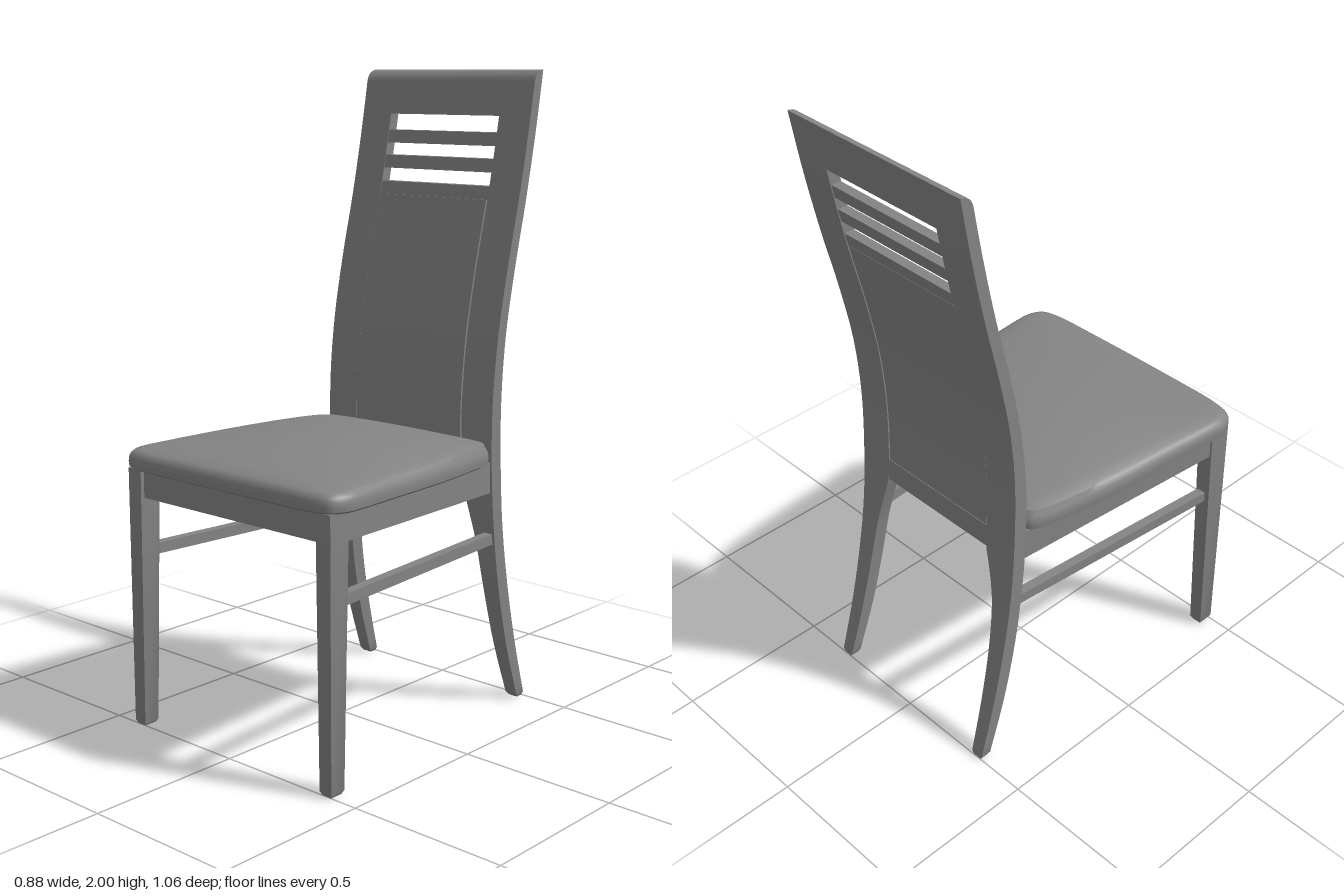
import * as THREE from 'three';
import { toCreasedNormals } from 'three/addons/utils/BufferGeometryUtils.js';

const material = new THREE.MeshStandardMaterial({ color: 0x848484 });

// Side profile of the back: height, front z, back z
const profile = [
  [0, -0.467, -0.503], [0.2, -0.402, -0.447], [0.4, -0.355, -0.402], [0.6, -0.325, -0.37],
  [0.8, -0.309, -0.355], [1, -0.309, -0.352], [1.2, -0.33, -0.369], [1.4, -0.37, -0.408],
  [1.6, -0.419, -0.456], [1.8, -0.461, -0.498], [2, -0.497, -0.533],
];
const curveOf = (k) => new THREE.CatmullRomCurve3(profile.map((p) => new THREE.Vector3(0, p[0], p[k])));
const frontCurve = curveOf(1), backCurve = curveOf(2);
const frontZ = (y) => frontCurve.getPoint(y / 2).z;
const backZ = (y) => backCurve.getPoint(y / 2).z;

// Solid through a row of closed sections (counter-clockwise seen from the last one)
function loft(sections, crease = 0.5) {
  const n = sections[0].length, last = (sections.length - 1) * n, index = [];
  for (let s = 0; s < sections.length - 1; s++) {
    for (let i = 0; i < n; i++) {
      const a = s * n + i, b = s * n + (i + 1) % n;
      index.push(a, b, b + n, a, b + n, a + n);
    }
  }
  for (let i = 1; i < n - 1; i++) {
    index.push(0, i + 1, i, last, last + i, last + i + 1);
  }
  const geometry = new THREE.BufferGeometry();
  geometry.setAttribute('position', new THREE.Float32BufferAttribute(sections.flat(2), 3));
  geometry.setIndex(index);
  return toCreasedNormals(geometry.toNonIndexed(), crease);
}

// Level rectangle, and upright rectangle facing the front
const level = (y, xa, xb, zf, zb) => {
  const l = Math.min(xa, xb), r = Math.max(xa, xb);
  return [[l, y, zf], [r, y, zf], [r, y, zb], [l, y, zb]];
};
const upright = (z, xa, xb, y0, y1) => {
  const l = Math.min(xa, xb), r = Math.max(xa, xb);
  return [[l, y0, z], [r, y0, z], [r, y1, z], [l, y1, z]];
};

// Curved piece that follows the back profile
function backPiece(y0, y1, xa, xb, steps, proud = 0, recess = 0) {
  const sections = [];
  for (let i = 0; i <= steps; i++) {
    const y = y0 + (y1 - y0) * i / steps;
    sections.push(level(y, xa(y), xb(y), frontZ(y) + proud, backZ(y) + recess));
  }
  return sections;
}

// Inner edge of a rear leg: slim foot flaring into the rail
const flare = new THREE.CatmullRomCurve3([
  [0.295, 0], [0.286, 0.2], [0.276, 0.4], [0.262, 0.55], [0.24, 0.65], [0.219, 0.73],
].map(([x, y]) => new THREE.Vector3(x, y, 0)));
const flareTable = flare.getPoints(60);
const innerX = (y) => {
  if (y >= 0.73) return 0.219;
  const i = Math.max(1, flareTable.findIndex((p) => p.y >= y));
  const a = flareTable[i - 1], b = flareTable[i];
  return a.x + (b.x - a.x) * (y - a.y) / (b.y - a.y);
};

// Cushion: a rounded trapezium outline shrunk ring by ring, with a soft dome on top
function cushion() {
  const half = [[0.2, 0.53], [0.36, 0.525], [0.415, 0.507], [0.438, 0.46], [0.438, 0.4],
    [0.424, 0.24], [0.402, 0], [0.376, -0.17], [0.36, -0.245], [0.339, -0.29], [0.3, -0.307], [0.15, -0.309]];
  const outline = [...half, ...half.map(([x, z]) => [-x, z]).reverse()];
  const curve = new THREE.CatmullRomCurve3(outline.map(([x, z]) => new THREE.Vector3(x, 0, z)), true);
  const points = curve.getPoints(120).slice(0, -1);
  const dome = (x, z) => {
    const u = x / (0.395 + 0.1 * z), v = (z - 0.11) / 0.42;
    return 0.04 * Math.max(0, 1 - u * u) * Math.max(0, 1 - v * v);
  };
  const sides = [[0.02, 0.819], [0.975, 0.819], [0.997, 0.826], [1, 0.84], [0.998, 0.855], [0.988, 0.866]];
  const top = [0.968, 0.94, 0.9, 0.85, 0.78, 0.7, 0.6, 0.5, 0.4, 0.3, 0.2, 0.1, 0.01];
  const ring = (s, height) => points.map((p) => {
    const x = p.x * s, z = 0.11 + (p.z - 0.11) * s;
    return [x, height(x, z), z];
  });
  return loft([
    ...sides.map(([s, h]) => ring(s, (x, z) => h - 0.012 * (0.5 - z))),
    ...top.map((s) => ring(s, (x, z) => 0.881 - 0.007 * Math.max(0, (s - 0.85) / 0.118) ** 2 + dome(x, z))),
  ], 0.7);
}

export function createModel() {
  const chair = new THREE.Group();
  chair.name = 'diningChair';
  const add = (name, geometry) => {
    const mesh = new THREE.Mesh(geometry, material);
    mesh.name = name;
    chair.add(mesh);
  };
  const at = (x) => () => x;

  add('seatCushion', cushion());

  for (const [side, k] of [['left', 1], ['right', -1]]) {
    // Rear leg and back stile in one sweep, with a chamfered foot
    add(side + 'BackPost', loft([
      level(0, k * 0.301, k * 0.332, -0.474, -0.498),
      ...backPiece(0.012, 1.86, (y) => k * innerX(y), at(k * 0.338), 50),
    ]));

    // Tapered front leg with a chamfered foot
    add(side + 'FrontLeg', loft([
      level(0, k * 0.376, k * 0.409, 0.499, 0.457),
      level(0.012, k * 0.37, k * 0.415, 0.505, 0.451),
      level(0.82, k * 0.36, k * 0.415, 0.508, 0.432),
    ]));

    // Side apron and stretcher, converging towards the back
    add(side + 'Apron', loft([
      upright(-0.315, k * 0.285, k * 0.33, 0.712, 0.812),
      upright(0.445, k * 0.36, k * 0.41, 0.732, 0.822),
    ]));
    add(side + 'Stretcher', loft([
      upright(-0.345, k * 0.297, k * 0.328, 0.543, 0.577),
      upright(0.46, k * 0.37, k * 0.401, 0.543, 0.577),
    ]));
  }

  add('frontApron', loft([
    upright(0.445, -0.365, 0.365, 0.732, 0.82),
    upright(0.495, -0.365, 0.365, 0.732, 0.82),
  ]));

  // Back: lower rail, slightly proud panel, slats
  add('lowerRail', loft(backPiece(0.725, 0.8, at(-0.22), at(0.22), 4)));
  add('backPanel', loft(backPiece(0.8, 1.605, at(-0.216), at(0.216), 28, 0.003, 0.002)));
  for (const y of [1.605, 1.688, 1.768]) {
    add('backSlat', loft(backPiece(y, y + 0.041, at(-0.222), at(0.222), 2, -0.002, 0.003)));
  }

  // Top rail with its front edge rounded over to the back
  const topRail = backPiece(1.86, 1.95, at(-0.338), at(0.338), 4);
  for (const [y, zf] of [[1.962, -0.49], [1.974, -0.4935], [1.984, -0.499], [1.992, -0.507], [1.997, -0.516], [2, -0.529]]) {
    topRail.push(level(y, -0.338, 0.338, zf, backZ(y)));
  }
  add('topRail', loft(topRail));

  return chair;
}
